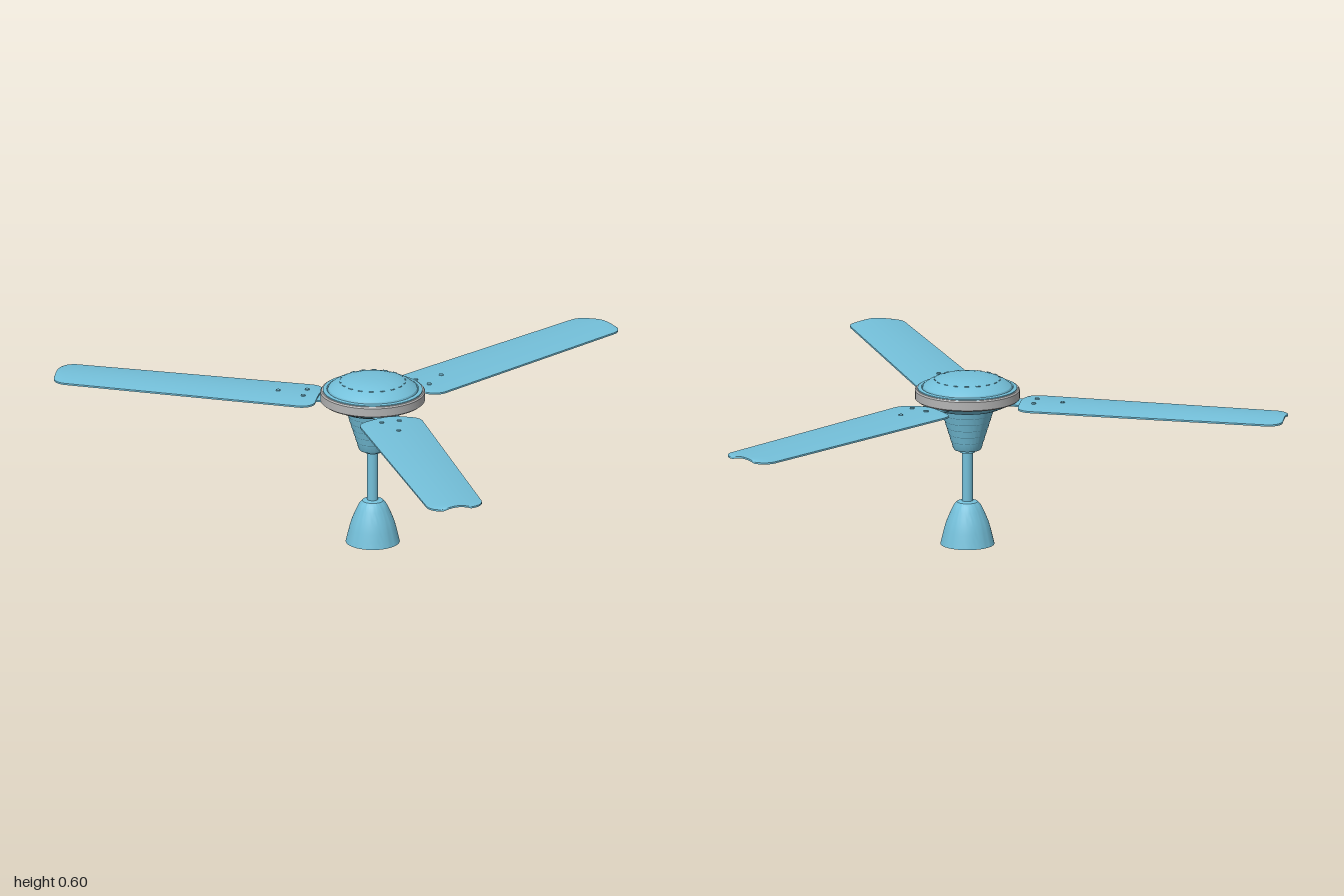
import * as THREE from 'three';
import { toCreasedNormals } from 'three/addons/utils/BufferGeometryUtils.js';

const blue = new THREE.MeshStandardMaterial({ color: 0x74c0da, side: THREE.DoubleSide });
blue.name = 'sky blue paint';
const grey = new THREE.MeshStandardMaterial({ color: 0xb4b4b4 });
grey.name = 'grey trim';

function part(name, geometry, material, parent) {
  const mesh = new THREE.Mesh(geometry, material);
  mesh.name = name;
  parent.add(mesh);
  return mesh;
}

// Profile points are [radius, height], listed from bottom to top
function turned(points, segments = 64) {
  const profile = points.map(([r, y]) => new THREE.Vector2(r, y));
  return toCreasedNormals(new THREE.LatheGeometry(profile, segments), 0.45);
}

// Thin, tapering, slightly arched plate with rounded corners
function bladeGeometry() {
  const x0 = 0.19, x1 = 1.12, corner = 0.05;
  const geometry = new THREE.BoxGeometry(1, 1, 1, 48, 1, 12);
  const p = geometry.attributes.position;
  for (let i = 0; i < p.count; i++) {
    const s = p.getX(i) * 2, v = p.getZ(i) * 2;
    const t = 0.5 + 0.5 * Math.sin(s * Math.PI / 2); // more stations near the ends
    const x = x0 + (x1 - x0) * t;
    const d = Math.min(x - x0, x1 - x, corner);
    const inset = corner - Math.sqrt(Math.max(0, corner ** 2 - (corner - d) ** 2));
    const back = -0.107 + 0.057 * t + inset;
    const front = 0.118 + 0.028 * t - inset;
    const z = (back + front) / 2 + v * (front - back) / 2;
    p.setXYZ(i, x, 0.516 - 0.009 * v * v + p.getY(i) * 0.006, z);
  }
  geometry.computeVertexNormals();
  return geometry;
}

// Waisted bracket that joins the blade to the motor
function bracketGeometry() {
  const s = new THREE.Shape();
  s.moveTo(0.13, -0.055);
  s.quadraticCurveTo(0.19, -0.025, 0.215, -0.05);
  s.quadraticCurveTo(0.25, -0.06, 0.27, -0.03);
  s.lineTo(0.35, -0.01);
  s.quadraticCurveTo(0.365, 0.01, 0.35, 0.03);
  s.lineTo(0.27, 0.06);
  s.quadraticCurveTo(0.25, 0.085, 0.215, 0.07);
  s.quadraticCurveTo(0.19, 0.04, 0.13, 0.055);
  const geometry = new THREE.ExtrudeGeometry(s, { depth: 0.006, bevelEnabled: false, curveSegments: 8 });
  return geometry.rotateX(Math.PI / 2).translate(0, 0.512, 0);
}

export function createModel() {
  const model = new THREE.Group();
  const fan = new THREE.Group();
  fan.name = 'fan';
  fan.position.set(-0.23, 0, 0.02);
  model.add(fan);

  // Hollow bell at the foot, with the rod visible inside
  part('canopy', turned([
    [0.093, 0], [0.087, 0.025], [0.081, 0.05], [0.074, 0.075], [0.064, 0.1],
    [0.055, 0.12], [0.046, 0.138], [0.036, 0.149], [0.018, 0.153],
  ]), blue, fan);
  part('rod', new THREE.CylinderGeometry(0.019, 0.019, 0.32, 32).translate(0, 0.2, 0), blue, fan);
  const pin = part('rodPin', new THREE.CylinderGeometry(0.007, 0.007, 0.06, 12), blue, fan);
  pin.rotation.z = Math.PI / 2;
  pin.position.y = 0.06;

  // Tapered motor cup with stepped rings
  const cup = [[0, 0.325], [0.027, 0.325], [0.027, 0.335], [0.046, 0.335]];
  for (let i = 0; i < 6; i++) {
    const y = 0.342 + i * 0.024, r = 0.05 + i * 0.0075;
    cup.push([r, y], [r + 0.0055, y + 0.022]);
  }
  cup.push([0.096, 0.485], [0.12, 0.487], [0.145, 0.499], [0.165, 0.511], [0.168, 0.516]);
  part('motorCup', turned(cup), blue, fan);

  // Grey band around the motor
  part('trimRing', turned([
    [0.15, 0.512], [0.174, 0.512], [0.18, 0.517], [0.18, 0.546], [0.176, 0.551], [0.15, 0.551],
  ]), grey, fan);

  // Shallow dome with a groove near its edge
  part('dome', turned([
    [0.172, 0.548], [0.171, 0.554], [0.158, 0.556], [0.155, 0.553], [0.152, 0.56],
    [0.135, 0.573], [0.112, 0.584], [0.085, 0.593], [0.055, 0.598], [0.025, 0.6], [0, 0.6],
  ]), blue, fan);
  // Ring of small raised marks on the dome
  for (let i = 0; i < 18; i++) {
    const a = i / 18 * Math.PI * 2;
    const mark = part('domeMark', new THREE.BoxGeometry(0.004, 0.003, 0.016), blue, fan);
    mark.position.set(Math.cos(a) * 0.112, 0.584, Math.sin(a) * 0.112);
    mark.rotation.y = -a;
  }

  // Three blades with their brackets and screws
  const blade = bladeGeometry(), bracket = bracketGeometry();
  const screw = new THREE.CylinderGeometry(0.008, 0.008, 0.022, 16);
  for (let i = 0; i < 3; i++) {
    const arm = new THREE.Group();
    arm.name = 'bladeArm';
    arm.rotation.y = i * Math.PI * 2 / 3;
    part('blade', blade, blue, arm);
    part('bracket', bracket, blue, arm);
    for (const [x, z] of [[0.24, -0.02], [0.24, 0.043], [0.335, 0.012]]) {
      part('screw', screw, blue, arm).position.set(x, 0.511, z);
    }
    fan.add(arm);
  }
  return model;
}
